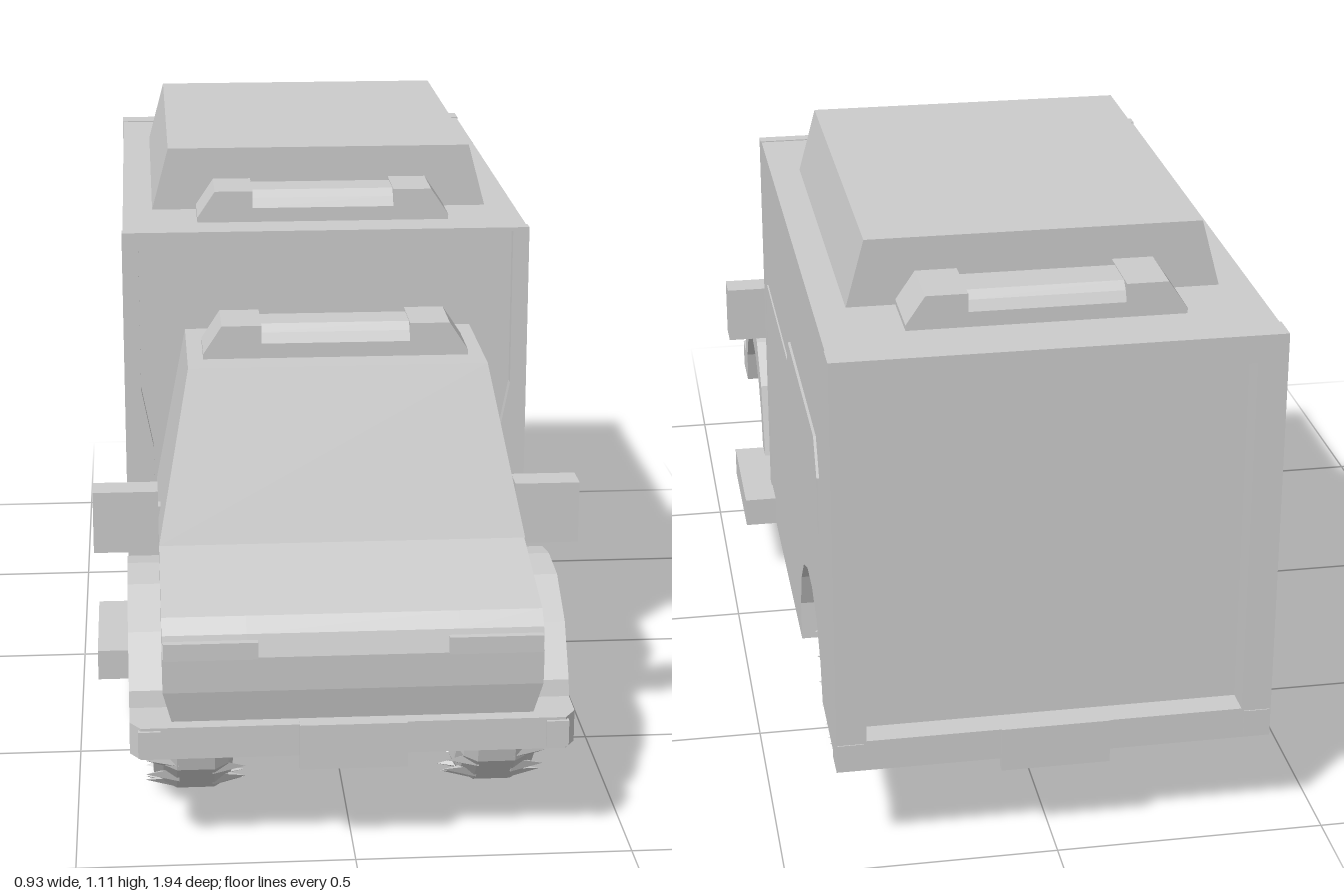
import * as THREE from 'three';
import { mergeGeometries } from 'three/addons/utils/BufferGeometryUtils.js';

const mat = new THREE.MeshStandardMaterial({ color: 0xcccccc, flatShading: true, side: THREE.DoubleSide });
const shapeOf = (pts) => new THREE.Shape(pts.map(([a, b]) => new THREE.Vector2(a, b)));
const extrude = (shape, depth) => new THREE.ExtrudeGeometry(shape, { depth, bevelEnabled: false });

// side profile of [z, y] points, stretched from x0 to x1
const profile = (pts, x0, x1) => extrude(shapeOf(pts), x1 - x0).rotateY(-Math.PI / 2).translate(x1, 0, 0);
// front outline of [x, y] points, stretched from z0 to z1
const outline = (pts, z0, z1) => extrude(shapeOf(pts), z1 - z0).translate(0, 0, z0);
const box = (x0, x1, y0, y1, z0, z1) =>
  new THREE.BoxGeometry(x1 - x0, y1 - y0, z1 - z0).translate((x0 + x1) / 2, (y0 + y1) / 2, (z0 + z1) / 2);
const both = (pts, x0, x1) => [profile(pts, x0, x1), profile(pts, -x1, -x0)];
const bothBox = (x0, x1, ...r) => [box(x0, x1, ...r), box(-x1, -x0, ...r)];

// points of a wheel opening, from angle a0 to a1
function arch(z, y, r, a0, a1, n = 8) {
  return Array.from({ length: n + 1 }, (_, i) => {
    const a = a0 + ((a1 - a0) * i) / n;
    return [z + r * Math.cos(a), y + r * Math.sin(a)];
  });
}

// narrows the cab towards the roof and the sill
function taper(geo) {
  const p = geo.attributes.position;
  for (let i = 0; i < p.count; i++) {
    const y = p.getY(i);
    const w = y > 0.495 ? 0.34 - (y - 0.495) * 0.197 : y < 0.31 ? 0.34 - (0.31 - y) * 0.25 : 0.34;
    p.setX(i, (p.getX(i) * w) / 0.34);
  }
  geo.computeVertexNormals();
  return geo;
}

// light bar: two sloping end blocks and a rounded lamp between them
function lightBar(y0, y1, z0, z1) {
  const end = [[0.14, y0], [0.25, y0], [0.25, y0 + 0.01], [0.215, y1], [0.14, y1]];
  const h = y1 - y0, c = 0.025;
  const lamp = [[z1, y0], [z1, y0 + h * 0.45], [z1 - c * 0.4, y0 + h * 0.75], [z1 - c, y1 - 0.002],
    [z0 + c, y1 - 0.002], [z0 + c * 0.4, y0 + h * 0.75], [z0, y0 + h * 0.45], [z0, y0]];
  return [
    outline(end, z0, z1),
    outline(end.map(([x, y]) => [-x, y]).reverse(), z0, z1),
    profile(lamp, -0.14, 0.14),
  ];
}

function makeWheel() {
  const wheel = new THREE.Group();
  const add = (name, geo) => {
    const m = new THREE.Mesh(geo, mat);
    m.name = name;
    wheel.add(m);
  };
  const lathe = (pts, n) =>
    new THREE.LatheGeometry(pts.map(([r, x]) => new THREE.Vector2(r, x)), n).rotateZ(-Math.PI / 2);
  add('tyre', lathe([[0, -0.06], [0.145, -0.07], [0.166, -0.06], [0.18, -0.035], [0.18, 0.035], [0.166, 0.06],
    [0.15, 0.078], [0.085, 0.08], [0.075, 0.06], [0, 0.06]], 12));
  add('hub', lathe([[0.048, 0.06], [0.042, 0.08], [0.024, 0.08], [0.02, 0.068], [0, 0.068]], 5));
  // wedge tread blocks down both shoulders
  const teeth = [];
  for (let i = 0; i < 20; i++) {
    for (const s of [-1, 1]) {
      const t = new THREE.ConeGeometry(0.028, 0.062, 4).rotateZ(-s * Math.PI / 2).scale(1, 0.55, 1);
      t.translate(s * 0.062, 0.163, 0).rotateX(((i + (s > 0 ? 0.5 : 0)) * Math.PI) / 10);
      teeth.push(t);
    }
  }
  add('tread', mergeGeometries(teeth));
  return wheel;
}

export function createModel() {
  const truck = new THREE.Group();
  truck.name = 'truck';
  const add = (name, geos) => {
    const list = geos.map((g) => (g.index ? g.toNonIndexed() : g));
    const m = new THREE.Mesh(mergeGeometries(list), mat);
    m.name = name;
    truck.add(m);
  };

  // cargo body with rear wheel openings and a flat floor
  const side = [[0.24, 0.13], [0.24, 0.985], [-0.92, 0.985], [-0.92, 0.192],
    ...arch(-0.545, 0.18, 0.19, Math.PI - 0.1, -0.265)];
  add('cargoBody', [
    ...both(side, 0.19, 0.398),
    profile([[0.24, 0.13], [0.24, 0.985], [-0.92, 0.985], [-0.92, 0.192], [-0.73, 0.2], [-0.73, 0.13]], -0.19, 0.19),
  ]);

  // rims around the recessed front and back panels
  const rim = (hole, z0, z1) => {
    const s = shapeOf([[-0.4, 0.19], [0.4, 0.19], [0.4, 0.987], [-0.4, 0.987]]);
    const mirrored = hole.map(([x, y]) => [-x, y]).reverse();
    s.holes.push(new THREE.Path([...hole, ...mirrored].map(([x, y]) => new THREE.Vector2(x, y))));
    return extrude(s, z1 - z0).translate(0, 0, z0);
  };
  add('frontRim', [rim([[0.34, 0.2], [0.345, 0.55], [0.368, 0.67], [0.368, 0.98]], 0.235, 0.262)]);
  add('rearDoorFrame', [rim([[0.345, 0.25], [0.345, 0.935]], -0.97, -0.915)]);
  add('rearPlate', [box(-0.1, 0.1, 0.165, 0.25, -0.972, -0.955)]);
  add('rearLamps', bothBox(0.35, 0.398, 0.195, 0.245, -0.972, -0.955));

  // serving hatch, awning and rail
  add('sideHatch', both([[-0.25, 0.555], [-0.745, 0.555], [-0.745, 0.69], [-0.25, 0.69]], 0.39, 0.401));
  const awning = [[-0.25, 0.68], [-0.77, 0.68], [-0.73, 0.745], [-0.285, 0.745]];
  add('awning', both(awning, 0.39, 0.403));
  add('sideRail', bothBox(0.39, 0.401, 0.677, 0.686, -0.25, 0.18));

  // roof
  add('roofHatch', [outline([[-0.34, 0.98], [0.34, 0.98], [0.305, 1.11], [-0.305, 1.11]], -0.72, 0.045)]);
  add('frontRoofLight', lightBar(0.985, 1.047, 0.045, 0.17));
  add('rearRoofLight', lightBar(0.985, 1.047, -0.845, -0.72));
  add('cabRoofLight', lightBar(0.8, 0.863, 0.39, 0.51));

  // cab with sloping windscreen
  const front = [[0.945, 0.31], [0.948, 0.375], [0.935, 0.415], [0.91, 0.44], [0.66, 0.495], [0.29, 0.495]];
  add('cab', [
    taper(profile([[0.29, 0.495], [0.69, 0.495], [0.57, 0.8], [0.29, 0.8]], -0.34, 0.34)),
    profile([[0.29, 0.19], [0.92, 0.19], ...front], -0.19, 0.19),
  ]);
  const nose = [...front, [0.29, 0.31], ...arch(0.64, 0.18, 0.195, Math.PI - 0.73, 0.73)];
  const sill = [[0.29, 0.19], [0.29, 0.31], [0.495, 0.31], [0.47, 0.27], [0.445, 0.19]];
  const chin = [[0.835, 0.19], [0.81, 0.27], [0.785, 0.31], [0.945, 0.31], [0.92, 0.19]];
  add('cabSides', [nose, sill, chin].flatMap((p) => both(p, 0.19, 0.34).map(taper)));

  // flared fenders
  const fender = [[0.39, 0.19], [0.44, 0.34], [0.52, 0.415], [0.6, 0.43], [0.7, 0.425], [0.8, 0.37], [0.86, 0.28],
    [0.88, 0.19], ...arch(0.64, 0.18, 0.195, 0.05, Math.PI - 0.05)];
  add('fenders', both(fender, 0.3, 0.4));

  // front end
  add('headlights', bothBox(0.17, 0.338, 0.373, 0.405, 0.9, 0.952));
  const plan = [[-0.4, -0.84], [-0.4, -0.93], [-0.38, -0.96], [0.38, -0.96], [0.4, -0.93], [0.4, -0.84]];
  add('frontBumper', [extrude(shapeOf(plan), 0.06).rotateX(-Math.PI / 2).translate(0, 0.19, 0)]);
  add('bumperLamps', bothBox(0.345, 0.385, 0.195, 0.245, 0.94, 0.966));
  add('frontPlate', [box(-0.098, 0.095, 0.167, 0.252, 0.95, 0.97)]);

  // step across the chassis, and mirrors
  add('step', [box(-0.463, 0.463, 0.128, 0.188, 0.17, 0.44)]);
  add('mirrors', [...bothBox(0.34, 0.463, 0.435, 0.555, 0.495, 0.555), ...bothBox(0.32, 0.35, 0.46, 0.52, 0.51, 0.54)]);

  // wheels
  for (const z of [0.64, -0.545]) {
    for (const s of [-1, 1]) {
      const w = makeWheel();
      w.name = (z > 0 ? 'front' : 'rear') + (s > 0 ? 'Left' : 'Right') + 'Wheel';
      w.position.set(s * 0.28, 0.182, z);
      if (s < 0) w.rotation.y = Math.PI;
      truck.add(w);
    }
  }
  return truck;
}
